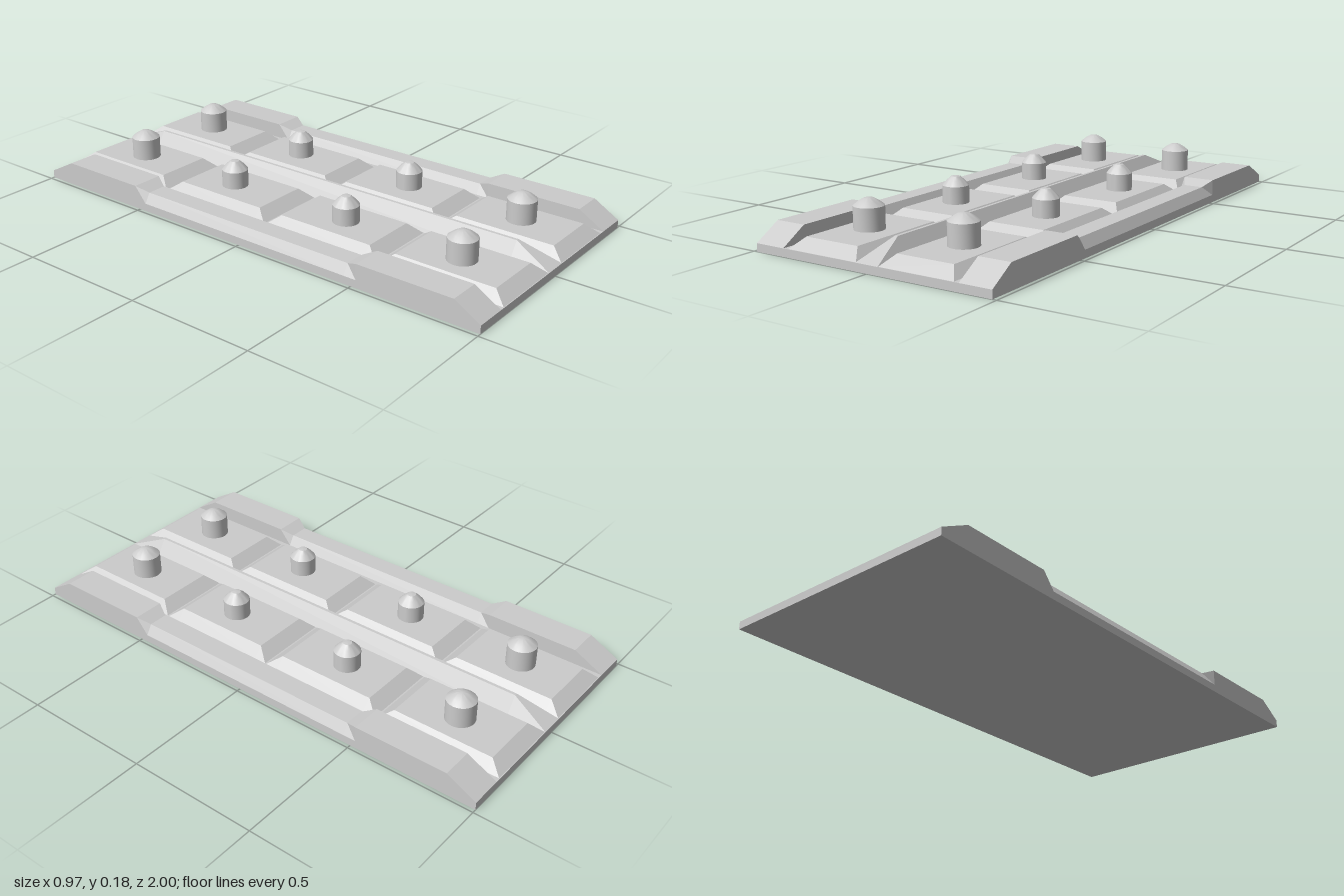
import * as THREE from 'three';
import { toCreasedNormals } from 'three/addons/utils/BufferGeometryUtils.js';

const material = new THREE.MeshStandardMaterial({ color: 0xcccccc });
const PLATE = 0.03;

function add(parent, name, geometry, x = 0, y = 0, z = 0) {
  const mesh = new THREE.Mesh(geometry, material);
  mesh.name = name;
  mesh.position.set(x, y, z);
  parent.add(mesh);
  return mesh;
}

// Faceted solid lofted along z; each station is [z, bottomX0, bottomX1, topX0, topX1, topY]
function loft(stations) {
  const rings = stations.map(([z, a, b, c, d, y]) => [
    [a, PLATE, z], [b, PLATE, z], [d, y, z], [c, y, z],
  ]);
  const points = [];
  const quad = (a, b, c, d) => points.push(...a, ...b, ...c, ...a, ...c, ...d);
  for (let s = 0; s < rings.length - 1; s++) {
    for (let i = 0; i < 4; i++) {
      const j = (i + 1) % 4;
      quad(rings[s][i], rings[s][j], rings[s + 1][j], rings[s + 1][i]);
    }
  }
  const geometry = new THREE.BufferGeometry();
  geometry.setAttribute('position', new THREE.Float32BufferAttribute(points, 3));
  geometry.computeVertexNormals();
  return geometry;
}

// Bevelled pad
function padGeometry(x0, x1, z0, z1, inset, bevel) {
  const flat = [x0, x1, x0, x1, PLATE];
  const raised = [x0, x1, x0 + inset, x1 - inset, 0.067];
  return loft([[z0, ...flat], [z0 + bevel, ...raised], [z1 - bevel, ...raised], [z1, ...flat]]);
}

// Round stud with a domed cap
function studGeometry(radius, shoulder, top) {
  const rise = top - shoulder;
  const profile = [
    [radius, 0.06], [radius, shoulder], [radius * 0.68, shoulder + rise * 0.5],
    [radius * 0.34, shoulder + rise * 0.9], [0, top],
  ].map(([x, y]) => new THREE.Vector2(x, y));
  return toCreasedNormals(new THREE.LatheGeometry(profile, 32), 0.45);
}

export function createModel() {
  const model = new THREE.Group();
  model.name = 'studdedPlate';

  add(model, 'basePlate', new THREE.BoxGeometry(0.97, PLATE, 2), 0, PLATE / 2, 0);

  // Central ridge with tapered ends
  const foot = [-0.046, 0.046];
  add(model, 'centreRidge', loft([
    [-1, ...foot, ...foot, PLATE],
    [-0.85, ...foot, -0.006, 0.006, 0.092],
    [0.85, ...foot, -0.006, 0.006, 0.092],
    [1, ...foot, ...foot, PLATE],
  ]));

  const largeStud = studGeometry(0.055, 0.15, 0.178);
  const smallStud = studGeometry(0.05, 0.133, 0.17);
  const studZ = [-0.753, -0.268, 0.265, 0.753];

  for (const side of [-1, 1]) {
    const label = side > 0 ? 'left' : 'right';

    // Row of four pads, each carrying a stud
    const [x0, x1] = side > 0 ? [0.046, 0.342] : [-0.342, -0.046];
    studZ.forEach((z, i) => {
      const start = -1 + i * 0.5;
      add(model, `${label}Pad${i + 1}`, padGeometry(x0, x1, start + 0.003, start + 0.497, 0.036, 0.05));
      add(model, `${label}Stud${i + 1}`, i % 3 === 0 ? largeStud : smallStud, side * 0.2, 0, z);
    });

    // Edge rail: tall sloped ends and a lower bevelled middle
    const [r0, r1] = side > 0 ? [0.362, 0.485] : [-0.485, -0.362];
    const full = [r0, r1, r0, r1];
    const narrow = [r0, r1, r0 + 0.023, r1 - 0.023, 0.068];
    add(model, `${label}Rail`, loft([
      [-1, ...full, PLATE],
      [-0.885, ...full, 0.09],
      [-0.52, ...full, 0.09],
      [-0.47, ...narrow],
      [0.47, ...narrow],
      [0.52, ...full, 0.09],
      [0.9, ...full, 0.09],
      [1, ...full, PLATE],
    ]));
  }
  return model;
}
